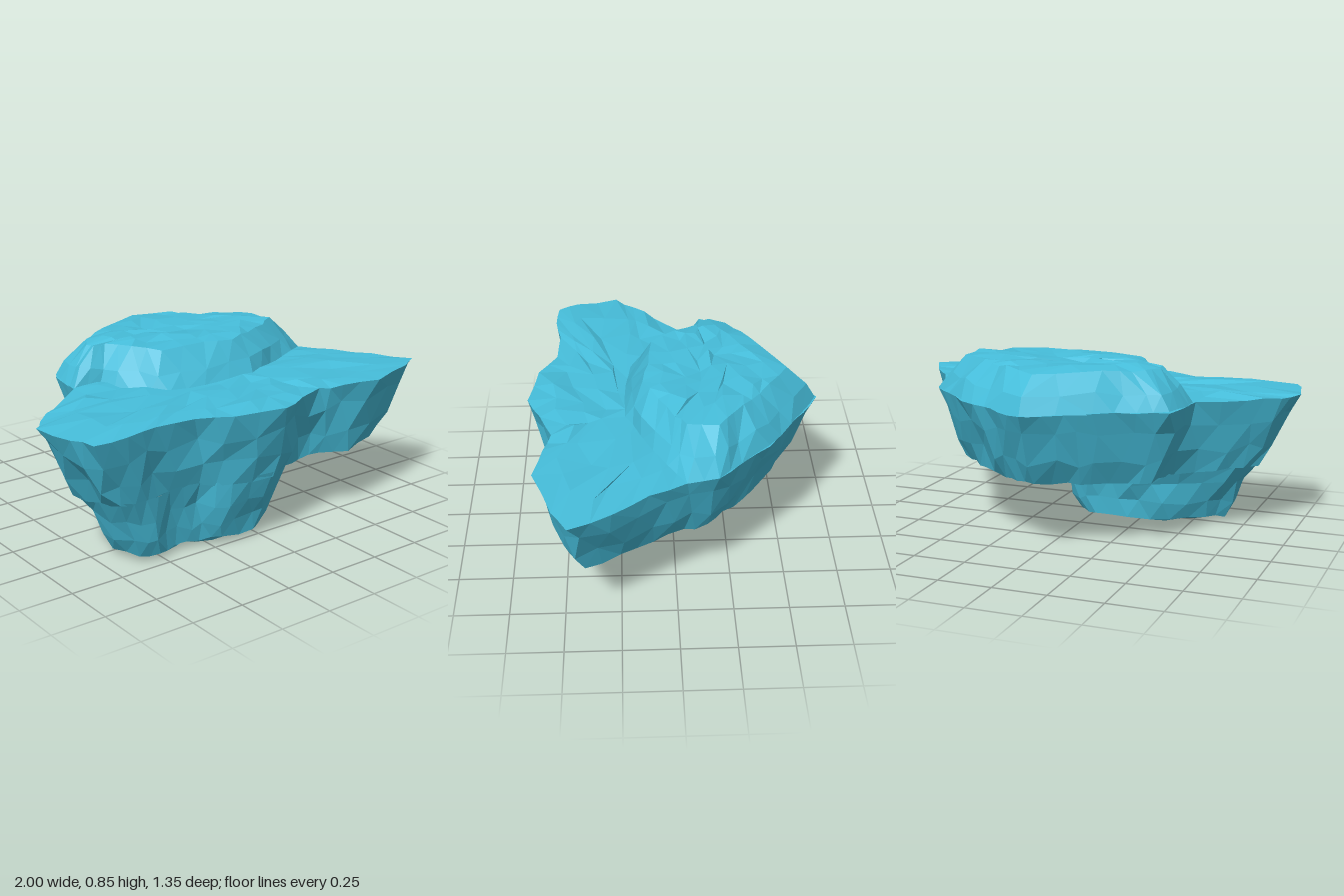
import * as THREE from 'three';

// Small seeded random, returns -1..1
function seeded(seed) {
  let s = seed;
  return () => {
    s = (s * 1664525 + 1013904223) % 4294967296;
    return (s / 4294967296) * 2 - 1;
  };
}

// Point on a closed outline, t in 0..1
function along(outline, t) {
  const u = t * outline.length, i = Math.floor(u + 1e-6), f = Math.max(0, u - i);
  const a = outline[i % outline.length], b = outline[(i + 1) % outline.length];
  return [a[0] + (b[0] - a[0]) * f, a[1] + (b[1] - a[1]) * f];
}

// Faceted rock: rings blended between a low and a high outline, stitched from the bottom up.
// Each ring: k = blend low..high, y = height, s = size about the centre, n = points, j = roughness, jy = vertical roughness
function rock(name, low, high, center, rings, seed, material) {
  const rnd = seeded(seed), pos = [], index = [];
  const loops = rings.map(({ k, y, s = 1, n, j = 0.012, jy = 0.011 }) => {
    const start = pos.length / 3;
    for (let i = 0; i < n; i++) {
      const a = along(low, i / n), b = along(high, i / n);
      const x = a[0] + (b[0] - a[0]) * k, z = a[1] + (b[1] - a[1]) * k;
      pos.push(
        center[0] + (x - center[0]) * s + rnd() * j,
        y + rnd() * jy,
        center[1] + (z - center[1]) * s + rnd() * j
      );
    }
    return { start, n };
  });
  for (let r = 0; r + 1 < loops.length; r++) {
    const A = loops[r], B = loops[r + 1];
    let i = 0, m = 0;
    while (i < A.n || m < B.n) {
      const a = A.start + (i % A.n), b = B.start + (m % B.n);
      if (m >= B.n || (i < A.n && (i + 1) / A.n <= (m + 1) / B.n)) {
        i++;
        if (A.n > 1) index.push(a, b, A.start + (i % A.n));
      } else {
        m++;
        if (B.n > 1) index.push(a, b, B.start + (m % B.n));
      }
    }
  }
  const indexed = new THREE.BufferGeometry();
  indexed.setAttribute('position', new THREE.Float32BufferAttribute(pos, 3));
  indexed.setIndex(index);
  const geometry = indexed.toNonIndexed();
  geometry.computeVertexNormals();
  const mesh = new THREE.Mesh(geometry, material);
  mesh.name = name;
  return mesh;
}

// Rings closing a face, from the centre outwards
const cap = (k, y, counts, jy) => counts.map((n, i) => ({ k, y, s: i / counts.length, n, j: i ? 0.028 : 0, jy }));

export function createModel() {
  const group = new THREE.Group();
  group.name = 'rock';
  const stone = new THREE.MeshStandardMaterial({ color: 0x46bedb, flatShading: true });
  stone.name = 'blue stone';

  // Wide middle ledge
  const rim = [
    [0.02, -0.675], [0.15, -0.6], [0.25, -0.53], [0.42, -0.42], [0.55, -0.28], [0.66, -0.18],
    [0.69, -0.04], [0.78, 0.12], [0.9, 0.28], [0.995, 0.46], [0.88, 0.53], [0.61, 0.62],
    [0.42, 0.58], [0.3, 0.55], [0.15, 0.61], [0, 0.67], [-0.25, 0.63], [-0.4, 0.55],
    [-0.6, 0.54], [-0.75, 0.57], [-0.91, 0.56], [-0.96, 0.46], [-1, 0.26], [-0.93, 0.17],
    [-0.8, 0.06], [-0.6, -0.1], [-0.58, -0.2], [-0.55, -0.34], [-0.42, -0.4], [-0.25, -0.5], [-0.14, -0.55]
  ];
  const foot = rim.map(([x, z]) => [x * 0.82, z * (z > 0 ? 0.88 : 0.76)]);
  group.add(rock('middleLedge', foot, rim, [0, 0.12], [
    ...cap(0, 0.305, [1, 8, 16, 26, 36], 0.014),
    { k: 0, y: 0.315, n: 62, j: 0.006 },
    { k: 0.38, y: 0.42, n: 44, j: 0.014, jy: 0.025 },
    { k: 0.74, y: 0.55, n: 42, j: 0.014, jy: 0.025 },
    { k: 1, y: 0.655, n: 62, j: 0.003, jy: 0.006 },
    ...cap(1, 0.67, [1, 8, 16, 28, 42], 0.012).reverse()
  ], 7, stone));

  // Upper mound: base x, z and top x, z
  const mound = [
    [0.02, -0.67, 0.02, -0.53], [0.25, -0.53, 0.18, -0.43], [0.42, -0.42, 0.3, -0.34],
    [0.55, -0.28, 0.41, -0.26], [0.66, -0.18, 0.5, -0.18], [0.69, -0.04, 0.5, -0.04],
    [0.58, 0.05, 0.42, 0], [0.35, 0.15, 0.27, 0.07], [0.18, 0.23, 0.12, 0.14],
    [-0.1, 0.22, -0.02, 0.11], [-0.28, 0.2, -0.24, 0.09], [-0.4, 0.06, -0.33, -0.03],
    [-0.47, -0.08, -0.4, -0.14], [-0.59, -0.11, -0.45, -0.15], [-0.58, -0.2, -0.46, -0.2],
    [-0.55, -0.34, -0.42, -0.28], [-0.42, -0.4, -0.33, -0.34], [-0.25, -0.5, -0.18, -0.43]
  ];
  const first = mound.map(p => p.slice(0, 2)), last = mound.map(p => p.slice(2));
  group.add(rock('upperMound', first, last, [0.02, -0.18], [
    { k: 0, y: 0.655, n: 36, j: 0.003, jy: 0.004 },
    { k: 0.36, y: 0.735, n: 30, j: 0.012, jy: 0.015 },
    { k: 1, y: 0.825, n: 36, j: 0.006, jy: 0.008 },
    ...cap(1, 0.836, [1, 7, 14, 24], 0.012).reverse()
  ], 21, stone));

  // Lower lump under the right front: top x, z and bottom x, z
  const lump = [
    [0.22, 0.2, 0.08, 0.2], [0.22, 0.42, 0.08, 0.38], [0.14, 0.53, 0.05, 0.45],
    [0, 0.595, -0.03, 0.5], [-0.2, 0.56, -0.2, 0.49], [-0.33, 0.49, -0.3, 0.44],
    [-0.49, 0.48, -0.42, 0.43], [-0.62, 0.51, -0.52, 0.45], [-0.75, 0.49, -0.61, 0.43],
    [-0.82, 0.24, -0.65, 0.28], [-0.74, 0.14, -0.58, 0.2], [-0.5, 0.03, -0.42, 0.12],
    [-0.25, 0, -0.22, 0.08], [0, 0.02, -0.05, 0.09], [0.14, 0.08, 0.03, 0.13]
  ];
  const neck = lump.map(p => p.slice(0, 2)), base = lump.map(p => p.slice(2));
  group.add(rock('lowerLump', base, neck, [-0.28, 0.28], [
    ...cap(0, 0.014, [1, 7, 14, 22], 0.012),
    { k: 0, y: 0.03, n: 30, j: 0.006, jy: 0.008 },
    { k: 0.27, y: 0.11, n: 28, jy: 0.02 },
    { k: 0.56, y: 0.21, n: 30, jy: 0.02 },
    { k: 1, y: 0.33, n: 30, j: 0.004 }
  ], 40, stone));

  return group;
}
